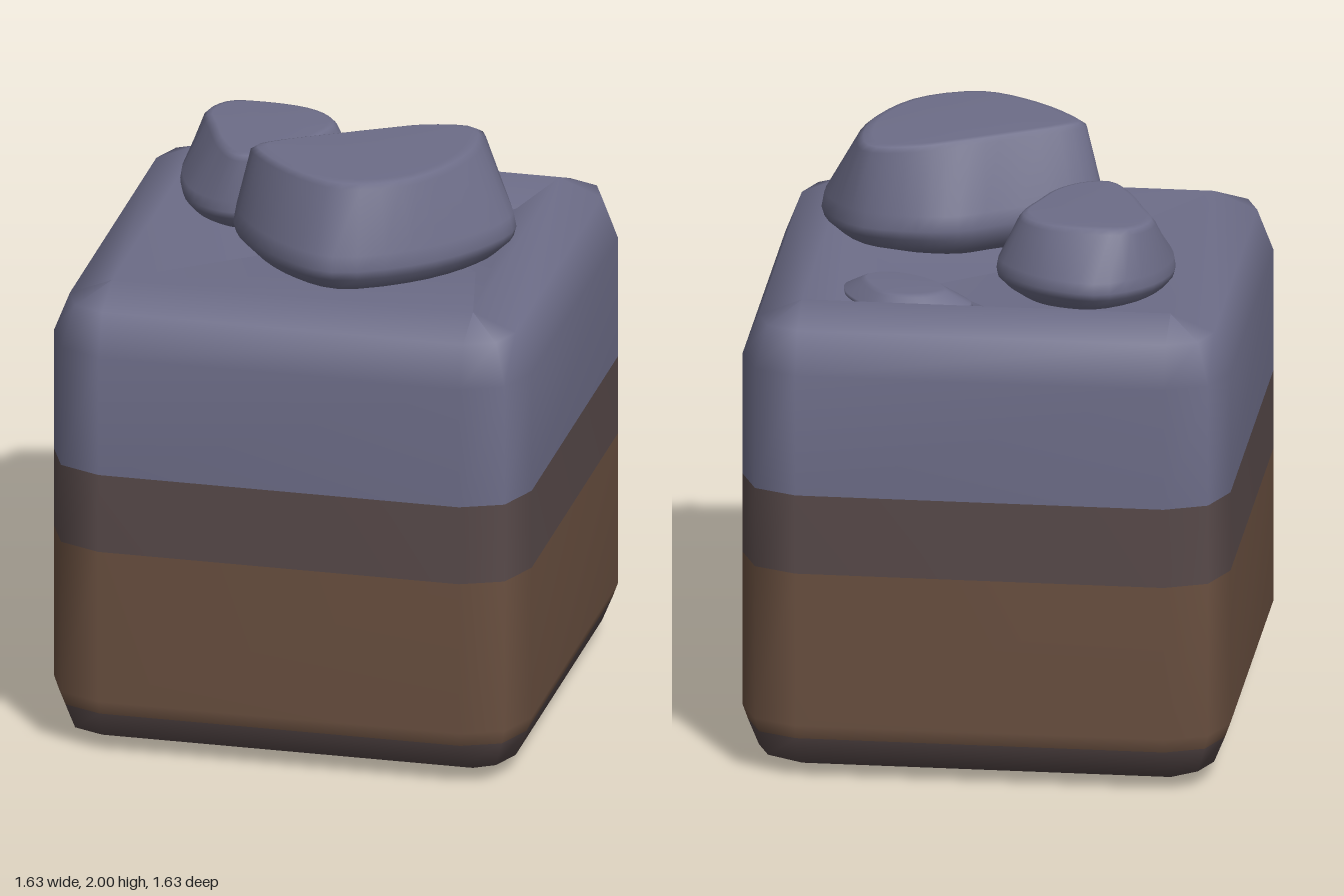
import * as THREE from 'three';

const mat = (name, color) => {
  const m = new THREE.MeshStandardMaterial({ color });
  m.name = name;
  return m;
};

// Skin a stack of equal-length closed rings, one material group per row
function loft(rings, rowMaterial = () => 0) {
  const n = rings[0].length, index = [];
  const geo = new THREE.BufferGeometry();
  for (let i = 0; i < rings.length - 1; i++) {
    geo.addGroup(index.length, n * 6, rowMaterial(i));
    for (let j = 0; j < n; j++) {
      const k = (j + 1) % n;
      const a = i * n + j, b = i * n + k, c = a + n, d = b + n;
      index.push(a, c, b, b, c, d);
    }
  }
  geo.setAttribute('position', new THREE.Float32BufferAttribute(rings.flat(2), 3));
  geo.setIndex(index);
  geo.computeVertexNormals();
  return geo;
}

// Smooth closed outline through [x, z] points
function outline(points, count = 40) {
  const curve = new THREE.CatmullRomCurve3(
    points.map(([x, z]) => new THREE.Vector3(x, 0, z)), true);
  return Array.from({ length: count }, (_, i) => curve.getPoint(i / count));
}

// Boulder from a wide girdle outline and a smaller top outline
function rock(name, girdle, crown, heights, material) {
  const g = outline(girdle), t = outline(crown);
  const ring = (pts, s, y) => {
    const c = pts.reduce((v, p) => v.add(p), new THREE.Vector3()).divideScalar(pts.length);
    return pts.map(p => [c.x + (p.x - c.x) * s, y, c.z + (p.z - c.z) * s]);
  };
  const [base, low, mid, shoulder, top] = heights;
  const mesh = new THREE.Mesh(loft([
    ring(g, 0, base), ring(g, 0.6, base), ring(g, 0.87, low),
    ring(g, 0.98, mid - (mid - low) * 0.4), ring(g, 1, mid),
    ring(g, 0.98, mid + (shoulder - mid) * 0.2),
    ring(t, 1.02, shoulder), ring(t, 0.96, top - 0.005),
    ring(t, 0.88, top), ring(t, 0, top),
  ]), material);
  mesh.name = name;
  return mesh;
}

export function createModel() {
  const group = new THREE.Group();
  group.name = 'rockyGroundBlock';
  const stone = mat('slate stone', 0x6d6d88);
  const subsoil = mat('dark subsoil', 0x584a4a);
  const earth = mat('brown earth', 0x6a5040);

  // Rounded square cross-section: core square plus a corner radius
  const core = 0.615, signs = [[1, 1], [-1, 1], [-1, -1], [1, -1]];
  const section = (r, y) => signs.flatMap(([sx, sz], q) => [0, 1, 2].map(k => {
    const a = (q + k / 2) * Math.PI / 2;
    return [sx * core + r * Math.cos(a), y, sz * core + r * Math.sin(a)];
  }));
  // Uneven hollow sunk into the top
  const pit = [[0.5, 0.1], [-0.1, 0.02], [0.03, -0.42], [0.5, -0.48]];
  const pitRing = (s, y) => pit.flatMap(([x, z]) =>
    [0, 1, 2].map(() => [0.23 + (x - 0.23) * s, y, -0.2 + (z + 0.2) * s]));

  const rings = [
    section(0, 0).map(() => [0, 0, 0]),
    section(0, 0), section(0.145, 0.06), section(0.182, 0.15), section(0.2, 0.2),
    section(0.2, 0.735), section(0.2, 1.01), section(0.2, 1.43),
    section(0.145, 1.57), section(0, 1.63),
    pitRing(1, 1.56), pitRing(0, 1.55),
  ];
  // Layers from the bottom: subsoil, earth, subsoil, stone
  const rowMaterial = i => (i < 3 ? 1 : i < 5 ? 2 : i < 6 ? 1 : 0);
  const block = new THREE.Mesh(loft(rings, rowMaterial), [stone, subsoil, earth]);
  block.name = 'layeredBlock';
  group.add(block);

  // Large front boulder
  group.add(rock('largeRock',
    [[-0.3, 0.2], [-0.25, 0.1], [0.0, -0.05], [0.15, -0.14], [0.3, -0.16], [0.5, -0.12],
      [0.63, 0.06], [0.58, 0.24], [0.4, 0.46], [0.13, 0.6], [-0.06, 0.52], [-0.23, 0.35]],
    [[-0.23, 0.22], [-0.18, 0.17], [0.02, 0.05], [0.16, -0.03], [0.3, -0.1], [0.46, -0.11],
      [0.5, 0.04], [0.46, 0.24], [0.34, 0.42], [0.14, 0.5], [-0.03, 0.43], [-0.18, 0.3]],
    [1.6, 1.64, 1.72, 1.98, 2], stone));

  // Medium back boulder
  group.add(rock('mediumRock',
    [[-0.59, -0.3], [-0.53, -0.46], [-0.37, -0.575], [-0.2, -0.54], [-0.07, -0.45], [0, -0.34],
      [-0.06, -0.2], [-0.14, -0.06], [-0.26, 0.02], [-0.38, 0.04], [-0.5, -0.03], [-0.57, -0.17]],
    [[-0.53, -0.36], [-0.48, -0.46], [-0.37, -0.48], [-0.2, -0.46], [-0.11, -0.4], [-0.08, -0.33],
      [-0.12, -0.2], [-0.17, -0.08], [-0.25, 0], [-0.34, 0.02], [-0.42, -0.08], [-0.48, -0.22]],
    [1.55, 1.61, 1.67, 1.85, 1.87], stone));

  // Small boulder mostly buried in the hollow
  group.add(rock('buriedRock',
    [[0.07, -0.43], [0.2, -0.53], [0.37, -0.51], [0.5, -0.36],
      [0.51, -0.25], [0.4, -0.2], [0.25, -0.24], [0.12, -0.33]],
    [[0.15, -0.42], [0.23, -0.48], [0.36, -0.47], [0.44, -0.36],
      [0.45, -0.29], [0.38, -0.25], [0.27, -0.28], [0.18, -0.35]],
    [1.48, 1.52, 1.56, 1.605, 1.615], stone));

  return group;
}
